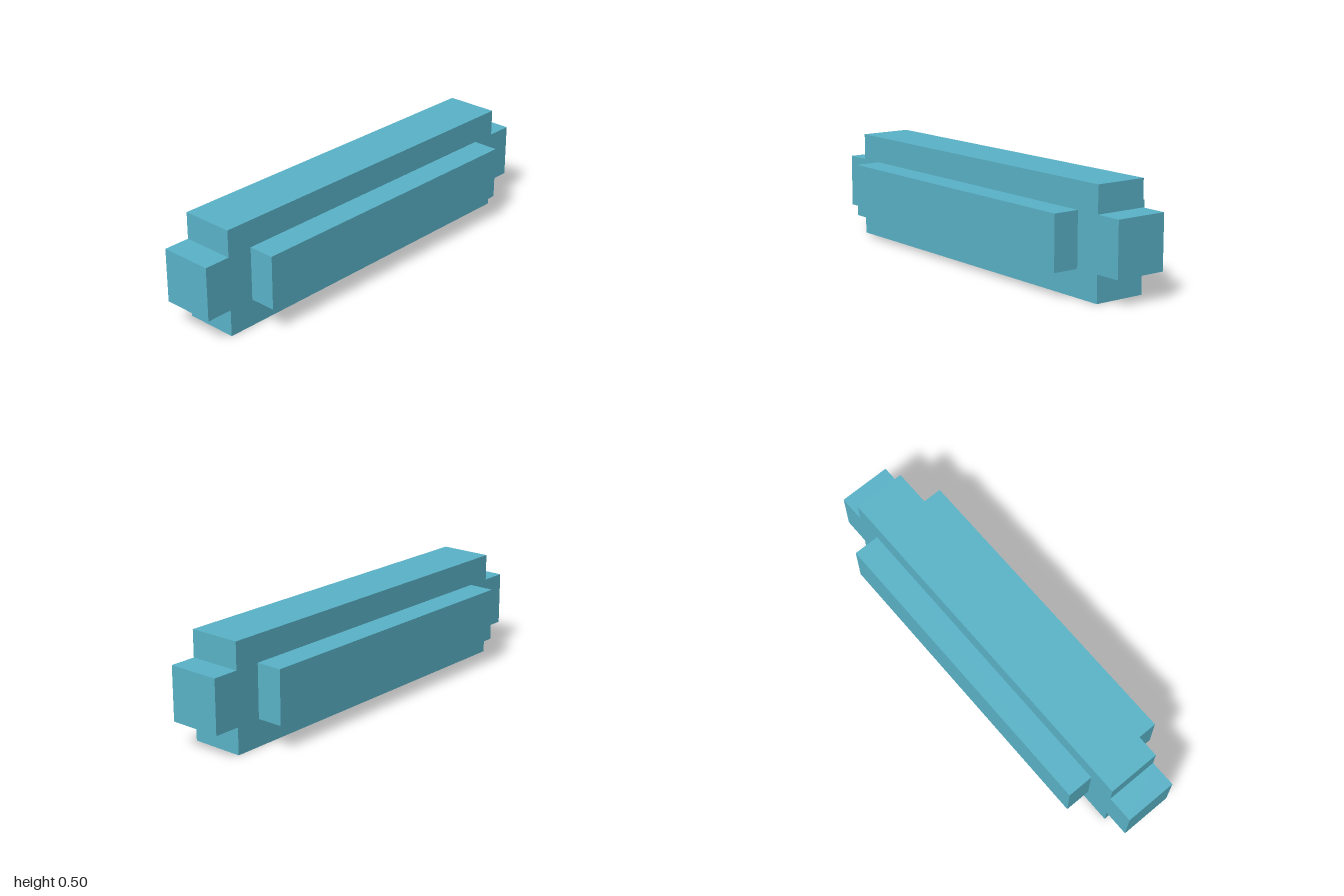
import * as THREE from 'three';

export function createModel() {
  const model = new THREE.Group();
  model.name = 'steppedBar';

  const teal = new THREE.MeshStandardMaterial({ color: 0x5ab4c9 });
  teal.name = 'teal';

  const midHeight = 0.25;
  function addBlock(name, [w, h, d], x, z) {
    const mesh = new THREE.Mesh(new THREE.BoxGeometry(w, h, d), teal);
    mesh.name = name;
    mesh.position.set(x, midHeight, z);
    model.add(mesh);
  }

  // Tall central bar
  addBlock('coreBar', [0.25, 0.5, 1.75], 0, 0);

  // Mirrored side rails and end blocks, set flush against the bar
  for (const s of [1, -1]) {
    addBlock(s > 0 ? 'leftRail' : 'rightRail', [0.125, 0.25, 1.5], s * 0.1875, 0);
    addBlock(s > 0 ? 'frontBlock' : 'backBlock', [0.25, 0.25, 0.125], 0, s * 0.9375);
  }

  return model;
}
